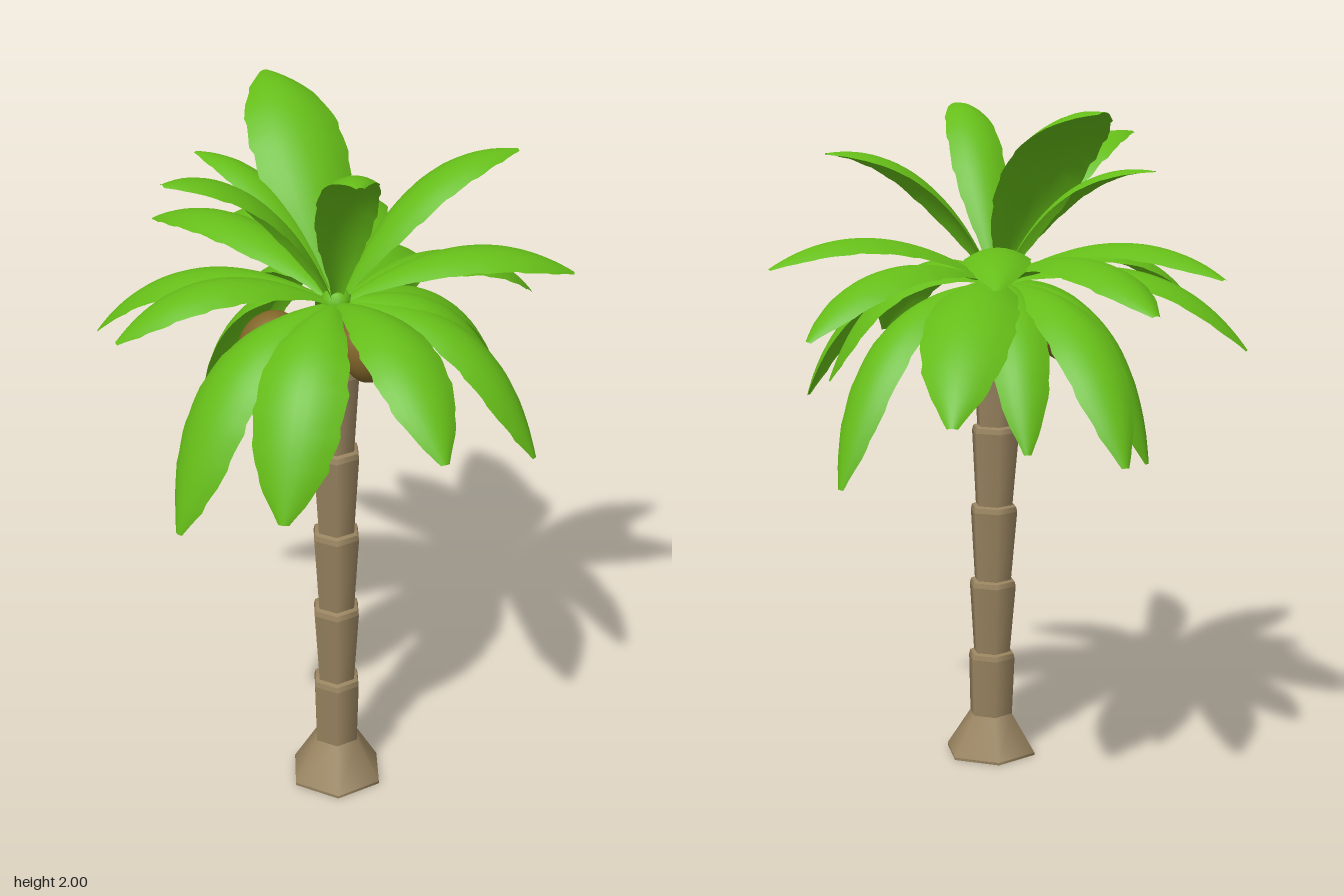
import * as THREE from 'three';
import { mergeGeometries } from 'three/addons/utils/BufferGeometryUtils.js';

const barkMat = new THREE.MeshStandardMaterial({ color: 0x998460 });
barkMat.name = 'bark';
const leafMat = new THREE.MeshStandardMaterial({ color: 0x65bd18, side: THREE.DoubleSide });
leafMat.name = 'leaf green';
const nutMat = new THREE.MeshStandardMaterial({ color: 0x82662a });
nutMat.name = 'coconut brown';

const CROWN = new THREE.Vector3(0.01, 1.49, 0.09);
const leanZ = (y) => 0.23 - 0.055 * y - 0.03 * y * y;

// Six-sided ringed trunk: a stack of tapered bands, sheared along its lean
function makeTrunk() {
  const profile = [[0, 0], [0.145, 0], [0.145, 0.008], [0.069, 0.13]];
  for (const y of [0.315, 0.55, 0.79, 1.04, 1.28]) {
    profile.push([0.075, y], [0.071, y + 0.015], [0.059, y + 0.02]);
  }
  profile.push([0.062, 1.46], [0, 1.47]);
  const bands = profile.slice(1).map(([r, y], i) => {
    const [r0, y0] = profile[i];
    return new THREE.CylinderGeometry(r, r0, y - y0, 6, 1, true).translate(0, (y + y0) / 2, 0);
  });
  const geo = mergeGeometries(bands);
  const p = geo.attributes.position;
  for (let i = 0; i < p.count; i++) {
    p.setX(i, p.getX(i) + 0.007);
    p.setZ(i, p.getZ(i) + leanZ(p.getY(i)));
  }
  const mesh = new THREE.Mesh(geo, barkMat);
  mesh.name = 'trunk';
  return mesh;
}

// Half-width of a frond along its length, as a share of the widest point
const OUTLINE = [0.16, 0.3, 0.54, 0.76, 0.91, 0.99, 1, 0.95, 0.81, 0.54, 0.12];
function outline(t) {
  const f = t * (OUTLINE.length - 1);
  const i = Math.min(Math.floor(f), OUTLINE.length - 2);
  return THREE.MathUtils.lerp(OUTLINE[i], OUTLINE[i + 1], f - i);
}

// Arching leaf from the crown to a tip, its edges folded down from the midrib
function makeFrond([x, y, z, width], index) {
  const tip = new THREE.Vector3(x, y, z);
  const out = new THREE.Vector3(x - CROWN.x, 0, z - CROWN.z);
  const reach = out.length();
  out.normalize();
  const rise = y - CROWN.y;
  const upright = rise > 0.2;
  const start = CROWN.clone().addScaledVector(out, 0.01);
  const control = CROWN.clone().addScaledVector(out, reach * (upright ? 0.42 : 0.58 - rise * 0.45));
  control.y = upright ? y + 0.04 : 1.72 + rise * 0.34;
  const spine = new THREE.QuadraticBezierCurve3(start, control, tip);
  const side = new THREE.Vector3(0, 1, 0).cross(out);

  const rows = 30, cols = 8, pos = [], idx = [];
  for (let i = 0; i <= rows; i++) {
    const t = i / rows;
    const c = spine.getPointAt(t);
    const up = spine.getTangentAt(t).cross(side);
    for (let j = 0; j <= cols; j++) {
      const u = (j / cols) * 2 - 1;
      // small saw-tooth notches along the rim
      const notch = 1 - 0.07 * ((t * 7 + index * 0.37 + (u > 0 ? 0.5 : 0)) % 1) * Math.abs(u);
      const w = outline(t) * width * 0.5 * notch;
      const v = c.clone().addScaledVector(side, u * w).addScaledVector(up, -0.35 * w * u * u);
      pos.push(v.x, Math.min(v.y, 2), v.z);
      if (i < rows && j < cols) {
        const a = i * (cols + 1) + j, b = a + cols + 1;
        idx.push(a, b, a + 1, b, b + 1, a + 1);
      }
    }
  }
  const geo = new THREE.BufferGeometry();
  geo.setAttribute('position', new THREE.Float32BufferAttribute(pos, 3));
  geo.setIndex(idx);
  geo.computeVertexNormals();
  const mesh = new THREE.Mesh(geo, leafMat);
  mesh.name = 'frond' + (index + 1);
  return mesh;
}

// Tip x, y, z and full width of each frond
const FRONDS = [
  // upright
  [0.05, 2.0, 0.6, 0.17], [-0.18, 2.0, -0.45, 0.29], [0.52, 1.88, -0.06, 0.2],
  [-0.45, 1.92, 0.33, 0.23], [-0.38, 1.83, -0.22, 0.14],
  // level
  [0.68, 1.55, 0.04, 0.21], [-0.52, 1.55, -0.45, 0.2], [-0.28, 1.48, -0.64, 0.22],
  [0.13, 1.55, -0.58, 0.19], [-0.6, 1.43, 0.22, 0.21], [0.6, 1.38, -0.25, 0.22],
  [-0.68, 1.31, -0.16, 0.21],
  // drooping
  [0.27, 1.21, -0.69, 0.26], [-0.2, 1.08, -0.65, 0.2], [0.04, 1.1, -0.53, 0.17],
  [0.52, 0.97, -0.28, 0.18], [0.55, 1.13, 0.36, 0.2], [0.5, 1.2, 0.19, 0.25],
  [0.27, 1.28, 0.69, 0.22], [-0.15, 1.06, 0.6, 0.26], [-0.44, 0.94, 0.42, 0.25],
  [-0.37, 1.0, -0.23, 0.2],
];

// Centre of each coconut
const NUTS = [[0.09, 1.36, 0.11], [0.095, 1.355, -0.075], [-0.18, 1.355, 0.07]];

export function createModel() {
  const model = new THREE.Group();
  model.name = 'palmTree';
  model.add(makeTrunk());

  const crown = new THREE.Group();
  crown.name = 'crown';
  FRONDS.forEach((f, i) => crown.add(makeFrond(f, i)));
  const bud = new THREE.Mesh(new THREE.SphereGeometry(0.045, 12, 8), leafMat);
  bud.name = 'bud';
  bud.position.copy(CROWN);
  crown.add(bud);
  model.add(crown);

  // Coconuts hang tilted outward from the crown
  const nutGeo = new THREE.SphereGeometry(1, 20, 14).scale(0.084, 0.105, 0.084);
  NUTS.forEach(([x, y, z], i) => {
    const nut = new THREE.Mesh(nutGeo, nutMat);
    nut.name = 'coconut' + (i + 1);
    nut.position.set(x, y, z);
    const hang = new THREE.Vector3(CROWN.x - x, 0.3, CROWN.z - z).normalize();
    nut.quaternion.setFromUnitVectors(new THREE.Vector3(0, 1, 0), hang);
    model.add(nut);
  });
  return model;
}
